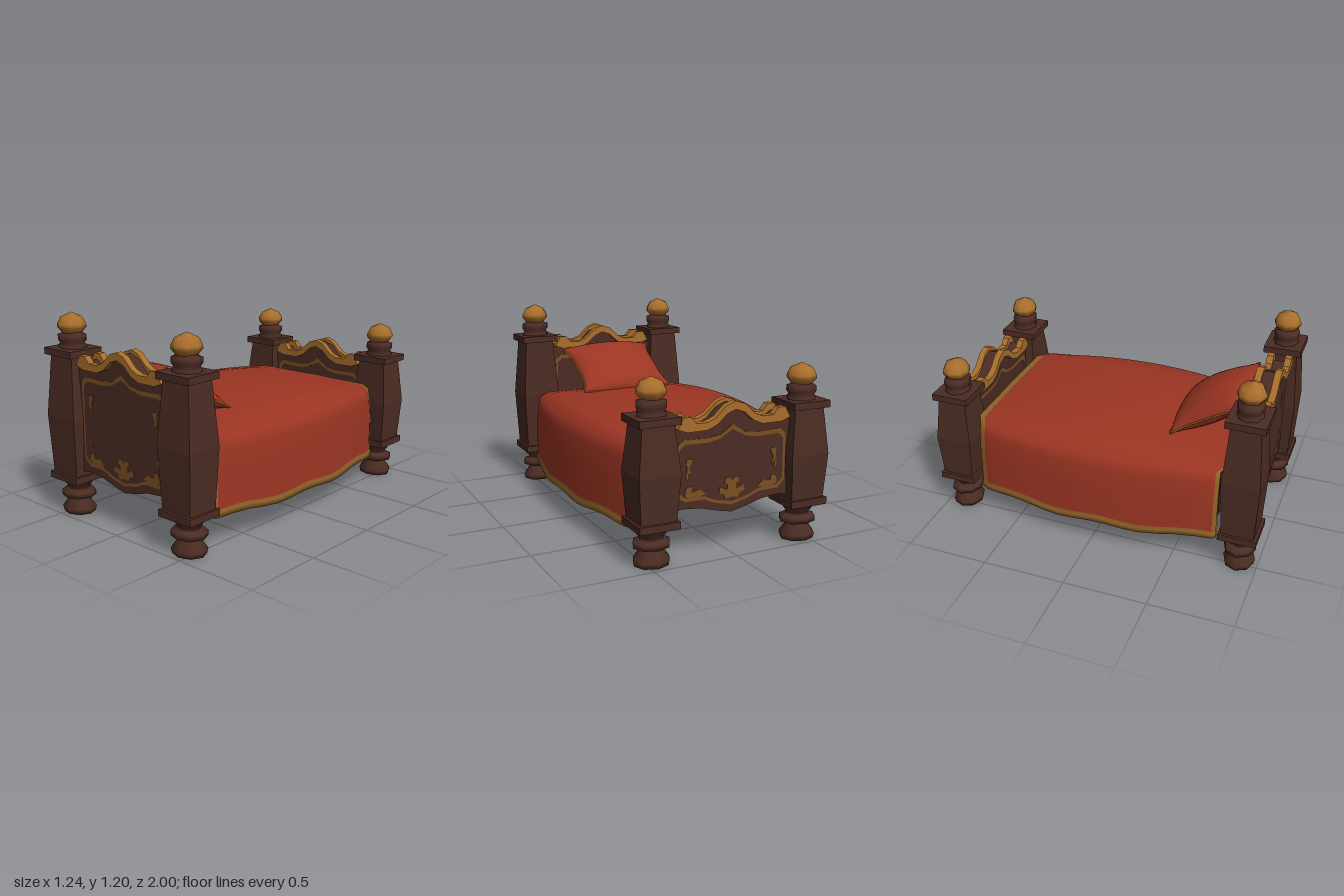
import * as THREE from 'three';

const mat = (name, color, side = THREE.FrontSide) => {
  const m = new THREE.MeshStandardMaterial({ color, side });
  m.name = name;
  return m;
};
const wood = mat('dark wood', 0x4b2c23);
const gold = mat('gold', 0xa86d2c);
const paint = mat('painted gold', 0x7a4f22);
const red = mat('red cloth', 0x9c3523, THREE.DoubleSide);
const hem = mat('hem', 0x936328, THREE.DoubleSide);

const add = (parent, name, geo, material) => {
  const m = new THREE.Mesh(geo, material);
  m.name = name;
  parent.add(m);
  return m;
};
const flat = (g) => {
  const f = g.toNonIndexed();
  f.computeVertexNormals();
  return f;
};
// turned profile, squashed slightly in depth
const turned = (pts, sides, y = 0, phase = 0, depth = 0.88) =>
  new THREE.LatheGeometry(pts.map((p) => new THREE.Vector2(...p)), sides, phase).scale(1, 1, depth).translate(0, y, 0);
// closed shape from its right half, mirrored about x = 0
const mirrored = (half) => [...half, ...half.filter((p) => p[0] > 0).reverse().map(([x, y]) => [-x, y])];
const shape = (pts) => new THREE.Shape(pts.map((p) => new THREE.Vector2(...p)));
const slab = (s, depth) =>
  new THREE.ExtrudeGeometry(s, { depth, bevelEnabled: false }).translate(0, 0, -depth / 2);

function makePost(top) {
  const post = new THREE.Group();
  post.name = 'post';
  add(post, 'foot', turned([[0, 0], [0.1, 0], [0.107, 0.03], [0.065, 0.085], [0.065, 0.1], [0.107, 0.102],
    [0.107, 0.132], [0.068, 0.14], [0.068, 0.155], [0.108, 0.21]], 8), wood);
  add(post, 'lowerPlate', new THREE.BoxGeometry(0.237, 0.04, 0.225).translate(0, 0.23, 0), wood);
  const mid = (top + 0.2) / 2, q = Math.SQRT2 / 2;
  add(post, 'shaft', flat(turned([[0.207 * q, 0.25], [0.24 * q, mid], [0.185 * q, top - 0.04]], 4, 0, Math.PI / 4, 0.92)), wood);
  add(post, 'upperPlate', new THREE.BoxGeometry(0.237, 0.04, 0.225).translate(0, top - 0.02, 0), wood);
  add(post, 'neck', turned([[0.086, 0], [0.086, 0.015], [0.074, 0.024], [0.088, 0.045], [0.088, 0.075],
    [0.062, 0.082], [0.066, 0.1], [0, 0.105]], 8, top), wood);
  add(post, 'finial', turned([[0, 0.08], [0.058, 0.085], [0.086, 0.118], [0.084, 0.137], [0.064, 0.176], [0, 0.204]],
    8, top, 0, 0.95), gold);
  return post;
}

// drop lowers the upper half of the board, out is the sign of its outer side
function makeBoard(drop, out) {
  const board = new THREE.Group();
  board.name = 'board';
  const lower = (pts) => pts.map(([x, y]) => [x, y > 0.55 ? y - drop : y]);
  const sh = (half) => shape(mirrored(lower(half)));
  add(board, 'panel', slab(sh([[0, 1.02], [0.065, 0.995], [0.12, 0.94], [0.17, 0.915], [0.24, 0.915], [0.29, 0.945],
    [0.32, 0.92], [0.4, 0.88], [0.4, 0.27], [0.3, 0.288], [0.19, 0.277], [0.09, 0.25], [0, 0.23]]), 0.08), wood);

  const crest = sh([[0, 1.04], [0.055, 1.022], [0.12, 0.962], [0.17, 0.942], [0.235, 0.942], [0.267, 0.98],
    [0.312, 0.98], [0.345, 0.92], [0.29, 0.9], [0.17, 0.9], [0.11, 0.925], [0.055, 0.975], [0, 0.995]]);
  for (const s of [1, -1]) add(board, 'crestMoulding', slab(crest, 0.04).translate(0, 0, s * 0.053), gold);

  const outerTop = [[0, 0.91], [0.07, 0.862], [0.15, 0.85], [0.3, 0.855], [0.338, 0.82]];
  const innerTop = [[0, 0.882], [0.08, 0.838], [0.15, 0.825], [0.29, 0.828], [0.322, 0.8]];
  const frame = sh([...outerTop, [0.336, 0.37], [0.295, 0.327], [0.17, 0.325], [0.1, 0.295], [0, 0.272]]);
  frame.holes.push(sh([...innerTop, [0.324, 0.38], [0.285, 0.347], [0.17, 0.343], [0.1, 0.312], [0, 0.292]]));
  const arch = sh([...outerTop, [0.336, 0.7], [0.324, 0.7], ...[...innerTop].reverse()]);
  const flower = sh([[0, 0.41], [0.015, 0.425], [0.04, 0.425], [0.045, 0.4], [0.025, 0.388], [0.03, 0.36],
    [0.075, 0.38], [0.08, 0.345], [0.05, 0.335], [0.04, 0.308], [0, 0.318]]);
  const scrolls = [
    [[0.29, 0.36], [0.28, 0.4], [0.25, 0.41], [0.245, 0.375], [0.2, 0.385], [0.16, 0.355], [0.2, 0.345], [0.26, 0.345]],
    [[0.275, 0.44], [0.285, 0.48], [0.272, 0.485], [0.268, 0.45]],
    [[0.24, 0.745], [0.28, 0.75], [0.275, 0.68], [0.25, 0.655], [0.262, 0.7]],
  ].map(lower);

  const decal = (name, sp, side) => add(board, name, slab(sp, 0.006).translate(0, 0, side * 0.041), paint);
  decal('paintedFrame', frame, out);
  decal('paintedFlower', flower, out);
  for (const p of scrolls) for (const m of [1, -1]) decal('paintedScroll', shape(p.map(([x, y]) => [x * m, y])), out);
  decal('paintedArch', arch, -out);
  return board;
}

// blanket lofted from cross-sections along the bed, with hem and lining
function blanketGeometry() {
  const half = [0.85, 0.7, 0.55, 0.4, 0.27, 0.13];
  const ts = [-1, -0.945, ...half.map((t) => -t), 0, ...[...half].reverse(), 0.97, 1];
  const section = (t) => {
    const w = 0.61 - 0.093 * t * t - (Math.abs(t) === 1 ? 0.012 : 0);
    const crown = 0.7 - 0.08 * t * t;
    const low = 0.158 + 0.01 * Math.sin(t * 9 + 1) + 0.012 * t * t;
    const right = [[0.3 * w, crown - 0.003], [0.6 * w, crown * 0.85 + 0.09], [0.82 * w, crown * 0.6 + 0.242],
      [0.95 * w, 0.603], [0.975 * w, 0.54], [w, 0.42], [w, low + 0.045], [w + 0.01, low + 0.03],
      [w + 0.008, low], [w - 0.025, low], [0.475, 0.3]];
    return [...right.map(([x, y]) => [-x, y]).reverse(), [0, crown], ...right];
  };
  const pos = [], cloth = [], edge = [];
  const n = section(0).length, c0 = (n - 1) / 2;
  ts.forEach((t, j) => section(t).forEach(([x, y], i) => {
    // the top reaches past the side drops at both ends
    pos.push(x, y, t * (Math.abs(i - c0) < 4 ? 0.785 : 0.75));
    if (j === ts.length - 1 || i === n - 1) return;
    const a = j * n + i, b = a + 1, c = a + n, d = c + 1;
    const border = j === 0 || j === ts.length - 2 || i < 4 || i >= n - 5;
    (border ? edge : cloth).push(a, c, b, b, c, d);
  }));
  const g = new THREE.BufferGeometry();
  g.setAttribute('position', new THREE.Float32BufferAttribute(pos, 3));
  g.setIndex([...cloth, ...edge]);
  g.addGroup(0, cloth.length, 0);
  g.addGroup(cloth.length, edge.length, 1);
  g.computeVertexNormals();
  return g;
}

function makePillow() {
  const pillow = new THREE.Group();
  pillow.name = 'pillow';
  // sides curve in between the corners, ends bow out
  const outline = (u, v) => [u * (0.278 + 0.03 * v ** 4), v * (0.236 - 0.022 * u * u)];
  const g = new THREE.PlaneGeometry(2, 2, 16, 16);
  const p = g.attributes.position;
  for (let i = 0; i < p.count; i++) {
    // spacing tightens toward the seam so the sides round over
    const u = Math.sin(p.getX(i) * Math.PI / 2), v = Math.sin(p.getY(i) * Math.PI / 2);
    const puff = Math.max(0, (1 - u * u) * (1 - v * v));
    p.setXYZ(i, ...outline(u, v), 0.1 * Math.pow(puff, 0.5));
  }
  g.computeVertexNormals();
  add(pillow, 'pillowUnderside', g, red);
  add(pillow, 'pillowTop', g.clone().rotateY(Math.PI), red);
  // piping round the seam
  const loop = [];
  for (const [u, v, du, dv] of [[-1, -1, 1, 0], [1, -1, 0, 1], [1, 1, -1, 0], [-1, 1, 0, -1]])
    for (let k = 0; k < 6; k++) loop.push(new THREE.Vector3(...outline(u + du * k / 3, v + dv * k / 3), 0));
  add(pillow, 'pillowPiping', new THREE.TubeGeometry(new THREE.CatmullRomCurve3(loop, true), 72, 0.006, 6, true), hem);
  pillow.position.set(0, 0.79, 0.582);
  pillow.rotation.x = THREE.MathUtils.degToRad(59);
  return pillow;
}

export function createModel() {
  const bed = new THREE.Group();
  bed.name = 'bed';
  for (const [end, out, top] of [['head', 1, 0.997], ['foot', -1, 0.807]]) {
    for (const x of [0.463, -0.463]) {
      const post = makePost(top);
      post.name = end + 'Post';
      post.position.set(x, 0, out * 0.887);
      bed.add(post);
    }
    const board = makeBoard(0.997 - top, out);
    board.name = end + 'board';
    board.position.z = out * 0.887;
    bed.add(board);
    add(bed, end + 'Valance', new THREE.BoxGeometry(0.84, 0.06, 0.012).translate(0, 0.582, out * 0.777), hem);
  }
  add(bed, 'bedBase', new THREE.BoxGeometry(0.96, 0.29, 1.5).translate(0, 0.445, 0), wood);
  add(bed, 'blanket', blanketGeometry(), [red, hem]);
  bed.add(makePillow());
  return bed;
}
